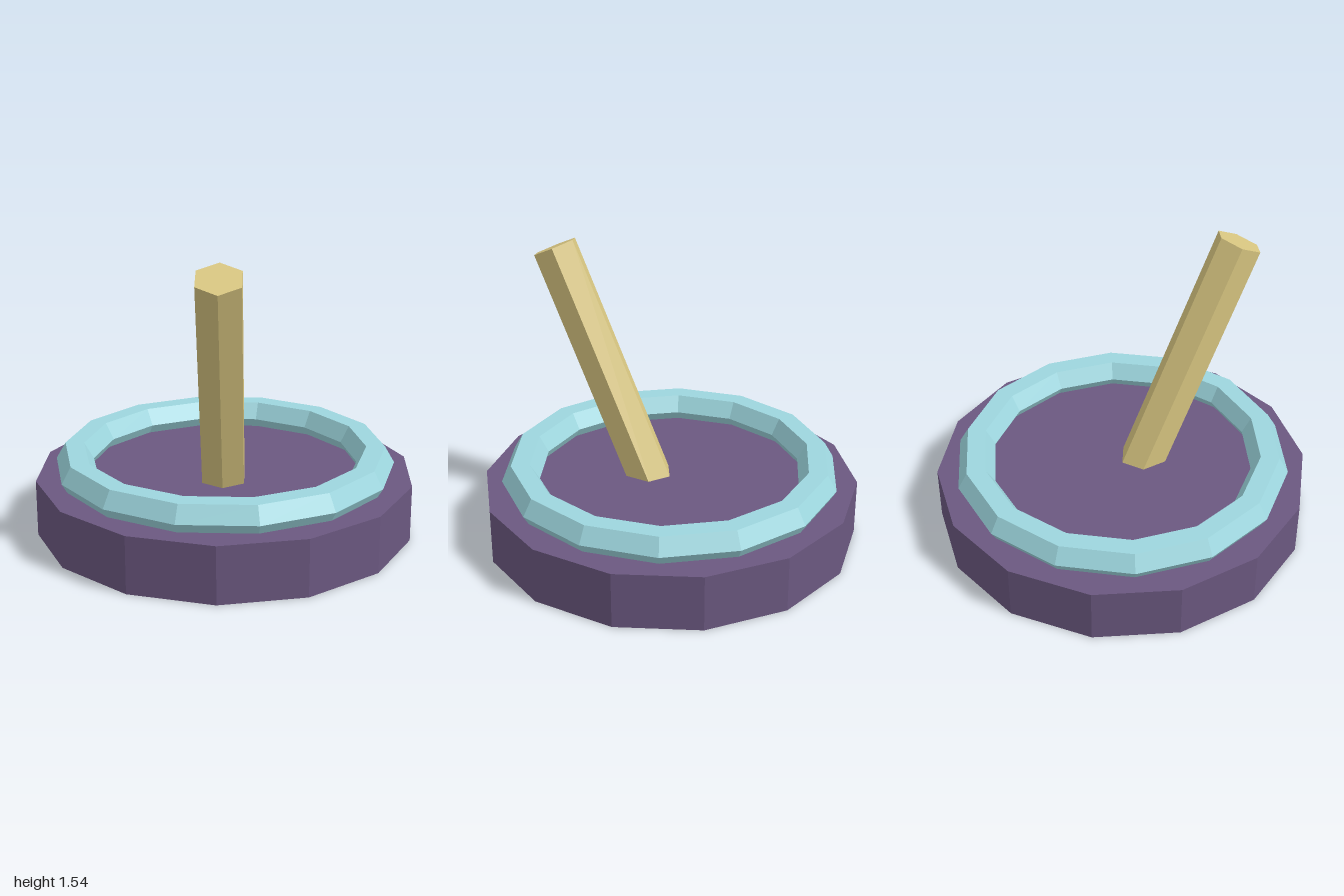
import * as THREE from 'three';

const material = (name, color) => {
  const m = new THREE.MeshStandardMaterial({ color, flatShading: true });
  m.name = name;
  return m;
};

export function createModel() {
  const model = new THREE.Group();
  const add = (name, geometry, mat) => {
    const mesh = new THREE.Mesh(geometry, mat);
    mesh.name = name;
    model.add(mesh);
    return mesh;
  };

  // Fourteen-sided base disc
  const base = add('base', new THREE.CylinderGeometry(1, 1, 0.3, 14), material('purple', 0x6b5880));
  base.position.y = 0.15;

  // Hexagonal-section ring, sunk slightly into the base
  const ring = add('ring', new THREE.TorusGeometry(0.8, 0.1, 6, 14), material('paleTeal', 0x9dd6de));
  ring.rotation.x = -Math.PI / 2;
  ring.position.y = 0.35;

  // Six-sided lever leaning towards the front, its foot hidden in the base
  const length = 1.4, tilt = THREE.MathUtils.degToRad(25);
  const lever = add('lever', new THREE.CylinderGeometry(0.125, 0.125, length, 6), material('sand', 0xd8c681));
  lever.rotation.x = tilt;
  lever.position.set(0, 1.486 - Math.cos(tilt) * length / 2, 0.696 - Math.sin(tilt) * length / 2);

  return model;
}
